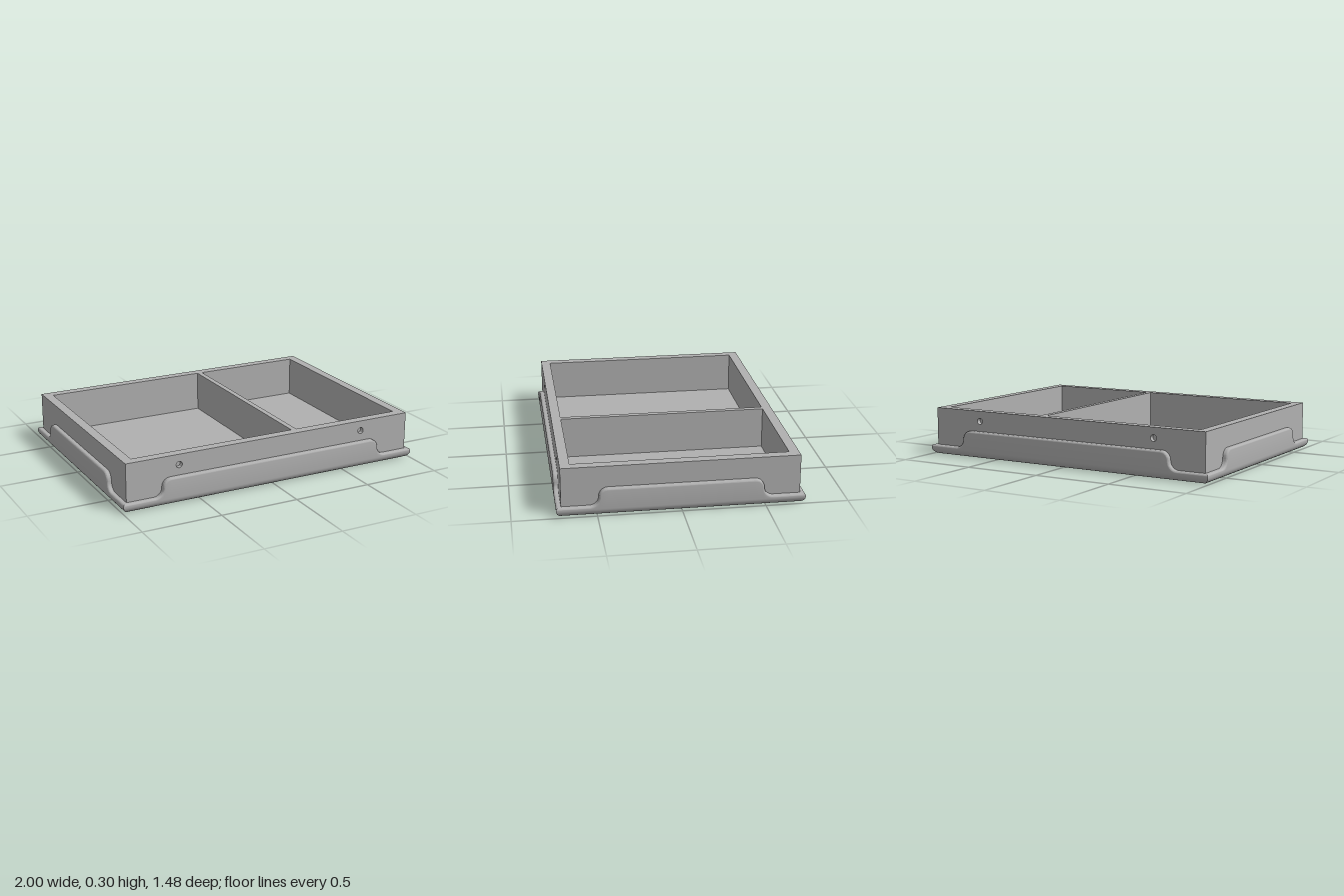
import * as THREE from 'three';
import { toCreasedNormals } from 'three/addons/utils/BufferGeometryUtils.js';

const HX = 1.0, HZ = 0.74;      // half size of the outer pan
const BX = 0.97, BZ = 0.71;     // half size of the tray body
const TOP = 0.3, FLOOR = 0.04, PLATE = 0.03;
const R = 0.045;                // rounding of the pan's lower edge
const LIP = 0.012;              // rounding of the pan's rim

function rect(x0, x1, y0, y1, Type = THREE.Shape) {
  const s = new Type();
  s.moveTo(x0, y0);
  s.lineTo(x1, y0);
  s.lineTo(x1, y1);
  s.lineTo(x0, y1);
  s.closePath();
  return s;
}

// Rim outline of one pan side: low at the corners, raised by S-curves in the middle
function rimPath(half, step) {
  const r = 0.055, mid = 0.115, n = 12;
  const side = [{ u: half, y: 0.06, nu: 0, ny: 1 }];
  for (let i = 0; i <= n; i++) {
    const a = (i / n) * Math.PI / 2;
    side.push({ u: step + r - r * Math.sin(a), y: mid - r * Math.cos(a), nu: Math.sin(a), ny: Math.cos(a) });
  }
  for (let i = 1; i <= n; i++) {
    const a = (i / n) * Math.PI / 2;
    side.push({ u: step - r + r * Math.cos(a), y: mid + r * Math.sin(a), nu: Math.cos(a), ny: Math.sin(a) });
  }
  const mirrored = side.map(p => ({ ...p, u: -p.u, nu: -p.nu }));
  return [...mirrored, ...side.reverse()];
}

// One pan side facing +z: rounded foot, flat face, rounded rim, mitred ends
function panSide(half, dist, step) {
  const path = rimPath(half, step), pos = [], index = [];
  let rows = 0;
  for (const p of path) {
    const column = [];
    for (let k = 0; k <= 8; k++) {
      const a = (k / 8) * Math.PI / 2;
      column.push([p.u, R * (1 - Math.cos(a)), R * (1 - Math.sin(a))]);
    }
    for (let k = 0; k <= 5; k++) {
      const a = (k / 5) * Math.PI / 2, inset = LIP * (1 - Math.sin(a));
      column.push([p.u - p.nu * inset, p.y - p.ny * inset, LIP * (1 - Math.cos(a))]);
    }
    column.push([p.u, p.y, 0.035]);
    rows = column.length;
    for (const [u, y, d] of column) {
      pos.push(THREE.MathUtils.clamp(u, d - half, half - d), y, dist - d);
    }
  }
  for (let i = 0; i < path.length - 1; i++) {
    for (let j = 0; j < rows - 1; j++) {
      const a = i * rows + j, b = a + rows;
      index.push(a, b, b + 1, a, b + 1, a + 1);
    }
  }
  const geo = new THREE.BufferGeometry();
  geo.setAttribute('position', new THREE.Float32BufferAttribute(pos, 3));
  geo.setIndex(index);
  return toCreasedNormals(geo, 0.6);
}

export function createModel() {
  const model = new THREE.Group();
  model.name = 'dividedTray';
  const grey = new THREE.MeshStandardMaterial({ color: 0xb0b0b0 });
  grey.name = 'grey';

  const add = (name, geo, x = 0, y = 0, z = 0, parent = model) => {
    const mesh = new THREE.Mesh(geo, grey);
    mesh.name = name;
    mesh.position.set(x, y, z);
    parent.add(mesh);
    return mesh;
  };

  // Tray walls with two compartments
  const ring = rect(-BX, BX, -(BZ - PLATE), BZ - PLATE);
  ring.holes.push(rect(-0.91, 0.16, -0.65, 0.65, THREE.Path), rect(0.195, 0.91, -0.65, 0.65, THREE.Path));
  const walls = new THREE.ExtrudeGeometry(ring, { depth: TOP - 0.02, bevelEnabled: false });
  walls.rotateX(-Math.PI / 2);
  add('trayWalls', walls, 0, 0.02, 0);
  add('compartmentFloor', new THREE.BoxGeometry(1.86, 0.02, 1.34), 0, FLOOR - 0.01, 0);

  // Long faces with two blind round holes each
  const face = rect(-BX, BX, 0.02, TOP);
  for (const x of [-0.63, 0.63]) {
    const hole = new THREE.Path();
    hole.absarc(x, 0.235, 0.02, 0, Math.PI * 2, true);
    face.holes.push(hole);
  }
  const faceGeo = toCreasedNormals(
    new THREE.ExtrudeGeometry(face, { depth: PLATE, bevelEnabled: false, curveSegments: 24 }), 0.6);
  add('frontFace', faceGeo, 0, 0, BZ - PLATE);
  add('backFace', faceGeo, 0, 0, -BZ).name = 'backFace';

  // Outer pan
  const pan = new THREE.Group();
  pan.name = 'outerPan';
  model.add(pan);
  add('panBottom', new THREE.BoxGeometry(2 * (HX - R), 0.02, 2 * (HZ - R)), 0, 0.01, 0, pan);
  const longSide = panSide(HX, HZ, 0.745), shortSide = panSide(HZ, HX, 0.49);
  ['panFront', 'panLeft', 'panBack', 'panRight'].forEach((name, i) => {
    add(name, i % 2 ? shortSide : longSide, 0, 0, 0, pan).rotation.y = i * Math.PI / 2;
  });

  return model;
}
